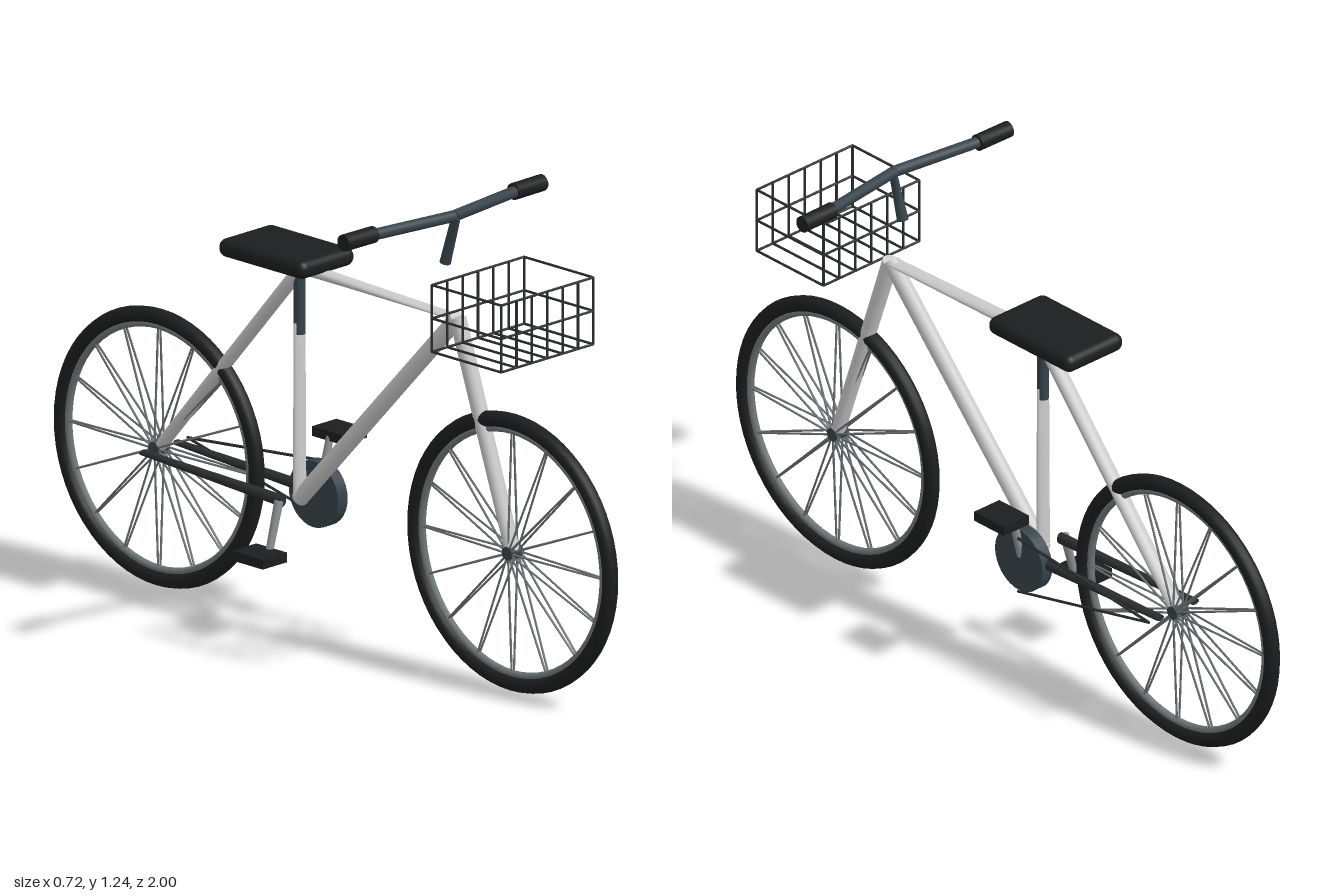
import * as THREE from 'three';
import { RoundedBoxGeometry } from 'three/addons/geometries/RoundedBoxGeometry.js';

const mat = (color) => new THREE.MeshStandardMaterial({ color });
const FRAME = mat(0xcccccc), BLACK = mat(0x1c1d1e), STEEL = mat(0x36434a);
const RIM = mat(0x6f7678), WIRE = mat(0x2a2d2f), CRANK = mat(0x8c9294);
const V = (x, y, z) => new THREE.Vector3(x, y, z);

function add(parent, name, geometry, material) {
  const mesh = new THREE.Mesh(geometry, material);
  mesh.name = name;
  parent.add(mesh);
  return mesh;
}

// Rod from a to b. Each end has a sideways radius and a depth radius,
// so it can taper and be flattened.
function rod(parent, name, a, b, endA, endB, material, sides = 14) {
  const [ax, az] = [endA].flat().length > 1 ? endA : [endA, endA];
  const [bx, bz] = [endB].flat().length > 1 ? endB : [endB, endB];
  const dir = b.clone().sub(a);
  const length = dir.length();
  dir.normalize();
  const geo = new THREE.CylinderGeometry(1, 1, length, sides);
  const p = geo.attributes.position;
  for (let i = 0; i < p.count; i++) {
    const t = p.getY(i) / length + 0.5;
    p.setX(i, p.getX(i) * THREE.MathUtils.lerp(ax, bx, t));
    p.setZ(i, p.getZ(i) * THREE.MathUtils.lerp(az, bz, t));
  }
  geo.computeVertexNormals();
  const side = Math.abs(dir.x) > 0.9 ? V(0, 0, 1) : V(1, 0, 0);
  side.addScaledVector(dir, -side.dot(dir)).normalize();
  const basis = new THREE.Matrix4().makeBasis(side, dir, side.clone().cross(dir));
  basis.setPosition(a.clone().add(b).multiplyScalar(0.5));
  geo.applyMatrix4(basis);
  return add(parent, name, geo, material);
}

// Tyre, rim, hub and two fans of spokes, one from each hub flange
function wheel(name, z) {
  const g = new THREE.Group();
  g.name = name;
  g.position.set(0, 0.376, z);
  add(g, 'tyre', new THREE.TorusGeometry(0.348, 0.021, 12, 64).rotateY(Math.PI / 2), BLACK);
  add(g, 'rim', new THREE.TorusGeometry(0.324, 0.01, 8, 64).rotateY(Math.PI / 2), RIM);
  rod(g, 'hub', V(-0.022, 0, 0), V(0.022, 0, 0), 0.018, 0.018, STEEL);
  for (let i = 0; i < 16; i++) {
    const a = (i / 16) * Math.PI * 2;
    for (const s of [-1, 1]) {
      rod(g, 'spoke', V(s * 0.017, 0.012 * Math.sin(a), 0.012 * Math.cos(a)),
        V(s * 0.004, 0.322 * Math.sin(a), 0.322 * Math.cos(a)), 0.003, 0.003, RIM, 5);
    }
  }
  return g;
}

function frame() {
  const g = new THREE.Group();
  g.name = 'frame';
  const head = V(0, 0.957, 0.435), seat = V(0, 0.96, -0.13);
  const bottom = V(0, 0.35, -0.13), rear = V(0, 0.376, -0.63);
  rod(g, 'fork', head, V(0, 0.376, 0.632), 0.022, [0.022, 0.017], FRAME);
  rod(g, 'downTube', head, bottom, 0.022, 0.022, FRAME);
  rod(g, 'topTube', head, V(0, 0.968, -0.13), [0.022, 0.004], [0.022, 0.016], FRAME);
  rod(g, 'seatTube', V(0, 0.82, -0.13), bottom, [0.021, 0.004], [0.021, 0.013], FRAME);
  rod(g, 'seatStay', seat, rear, [0.022, 0.017], [0.022, 0.015], FRAME);
  for (const s of [-1, 1]) {
    rod(g, 'chainStay', V(s * 0.061, 0.357, -0.13), V(s * 0.061, 0.376, -0.63), [0.013, 0.016], [0.013, 0.007], WIRE);
  }
  return g;
}

// Chainring, chain, and the two opposed cranks with pedals
function drivetrain() {
  const g = new THREE.Group();
  g.name = 'drivetrain';
  rod(g, 'chainring', V(0.05, 0.35, -0.13), V(0.085, 0.35, -0.13), 0.088, 0.088, STEEL, 32);
  for (const y of [0.425, 0.27]) {
    rod(g, 'chain', V(0.101, y, -0.145), V(0.101, 0.379, -0.63), 0.004, 0.004, WIRE, 6);
  }
  for (const s of [-1, 1]) {
    const y = s > 0 ? 0.495 : 0.228;
    rod(g, 'crank', V(s * 0.075, 0.36, -0.13), V(s * 0.111, y, -0.13), 0.012, 0.01, CRANK);
    add(g, 'pedal', new THREE.BoxGeometry(0.088, 0.026, 0.11), BLACK).position.set(s * 0.145, y, -0.13);
  }
  return g;
}

function saddle() {
  const g = new THREE.Group();
  g.name = 'saddle';
  add(g, 'seat', new RoundedBoxGeometry(0.2, 0.049, 0.308, 5, 0.023), BLACK).position.set(0, 0.997, -0.177);
  rod(g, 'seatPost', V(0, 0.79, -0.13), V(0, 0.98, -0.13), 0.015, 0.015, STEEL);
  return g;
}

function handlebar() {
  const g = new THREE.Group();
  g.name = 'handlebar';
  rod(g, 'stem', V(0, 1.095, 0.39), V(0, 1.222, 0.428), 0.015, [0.006, 0.015], STEEL);
  for (const s of [-1, 1]) {
    rod(g, 'bar', V(0, 1.225, 0.42), V(s * 0.26, 1.225, 0.385), 0.015, 0.015, STEEL);
    rod(g, 'grip', V(s * 0.253, 1.225, 0.383), V(s * 0.36, 1.225, 0.381), 0.022, 0.022, BLACK);
  }
  return g;
}

// Wire basket: three hoops, front and back uprights, floor bars
function basket() {
  const g = new THREE.Group();
  g.name = 'basket';
  const w = 0.167, y0 = 0.92, y1 = 1.098, z0 = 0.507, z1 = 0.754;
  const wire = (name, a, b) => rod(g, name, a, b, 0.0035, 0.0035, WIRE, 6);
  for (const y of [y0, (y0 + y1) / 2, y1]) {
    for (const z of [z0, z1]) wire('hoop', V(-w, y, z), V(w, y, z));
    for (const x of [-w, w]) wire('hoop', V(x, y, z0), V(x, y, z1));
  }
  for (let i = 0; i <= 6; i++) {
    const x = -w + (i / 6) * 2 * w;
    for (const z of [z0, z1]) wire('upright', V(x, y0, z), V(x, y1, z));
    if (i > 0 && i < 6) wire('floorBar', V(x, y0, z0), V(x, y0, z1));
  }
  return g;
}

export function createModel() {
  const model = new THREE.Group();
  model.name = 'bicycle';
  model.add(wheel('frontWheel', 0.631), wheel('rearWheel', -0.631),
    frame(), drivetrain(), saddle(), handlebar(), basket());
  return model;
}
